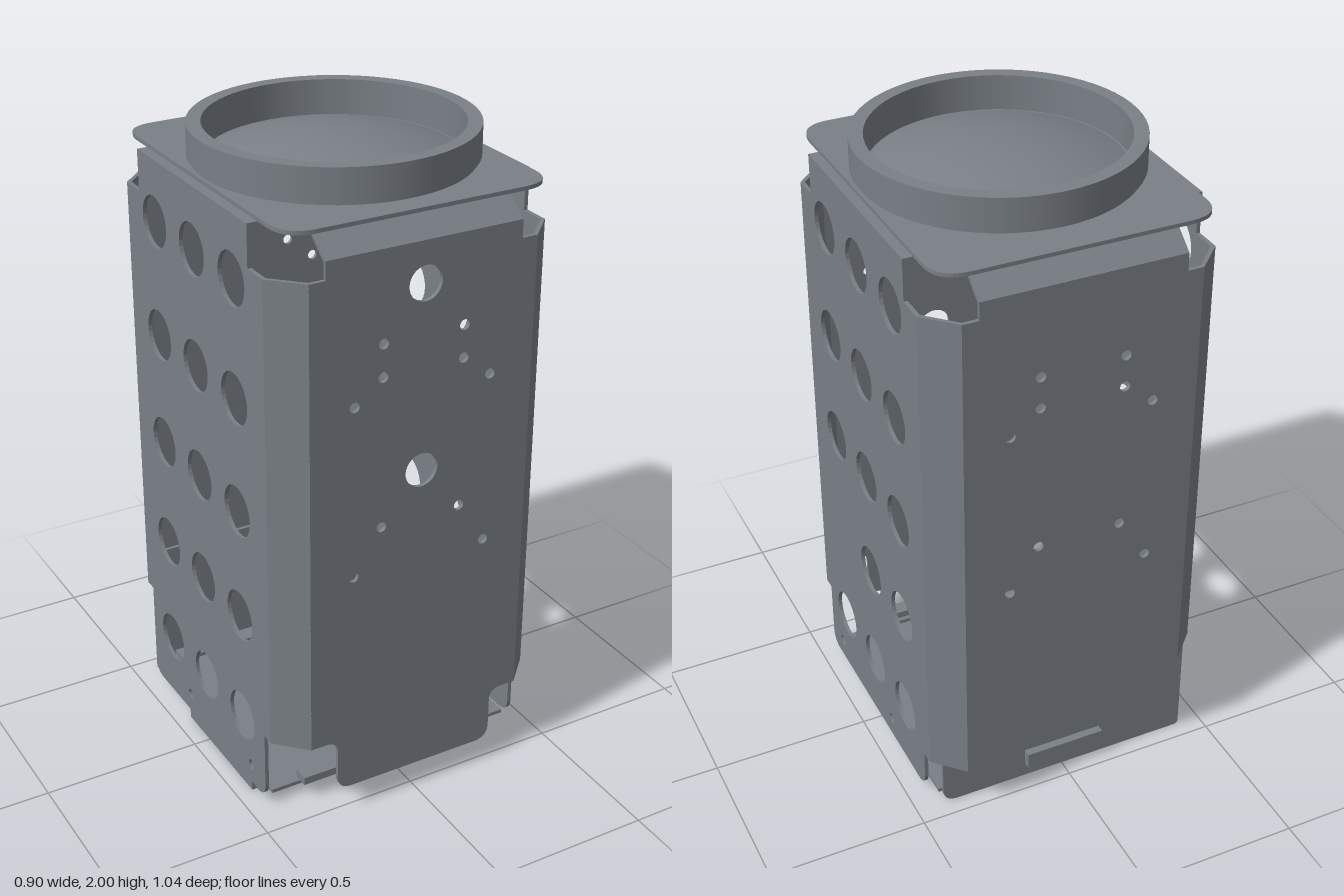
import * as THREE from 'three';

const T = 0.012; // sheet thickness
const X = 0.448, Z = 0.52; // half width and half depth of the housing
const FX = 0.36, SZ = 0.43; // where the flat panels meet the corner strips

const mat = new THREE.MeshStandardMaterial({ color: 0x7a8087 });

function add(parent, name, geo, x = 0, y = 0, z = 0) {
  const m = new THREE.Mesh(geo, mat);
  m.name = name;
  m.position.set(x, y, z);
  parent.add(m);
  return m;
}

// box given by its limits
function block(parent, name, x0, x1, y0, y1, z0, z1) {
  return add(parent, name, new THREE.BoxGeometry(x1 - x0, y1 - y0, z1 - z0),
    (x0 + x1) / 2, (y0 + y1) / 2, (z0 + z1) / 2);
}

// outline with a corner radius as optional third value, plus round holes [x, y, r]
function sheet(points, holes = []) {
  const s = new THREE.Shape();
  const n = points.length;
  points.forEach(([x, y, r = 0], i) => {
    const p = new THREE.Vector2(x, y);
    const toward = (q) => new THREE.Vector2(q[0], q[1]).sub(p).setLength(r).add(p);
    const a = toward(points[(i + n - 1) % n]), b = toward(points[(i + 1) % n]);
    if (i) s.lineTo(a.x, a.y); else s.moveTo(a.x, a.y);
    if (r) s.quadraticCurveTo(x, y, b.x, b.y);
  });
  for (const [x, y, r] of holes) {
    s.holes.push(new THREE.Path().absarc(x, y, r, 0, Math.PI * 2, true));
  }
  return new THREE.ExtrudeGeometry(s, { depth: T, bevelEnabled: false, curveSegments: 14 });
}

// thin tilted strip of sheet
function bar(parent, name, length, height, x, y, z, rx, ry) {
  const m = add(parent, name, new THREE.BoxGeometry(length, height, T), x, y, z);
  m.rotation.set(rx, ry, 0);
}

export function createModel() {
  const g = new THREE.Group();
  g.name = 'housing';

  // Front and back panels
  const screws = [];
  for (const [x, y] of [[0.13, 1.53], [0.13, 1.43], [0.22, 1.36], [0.13, 0.96], [0.22, 0.82]]) {
    screws.push([x, y, 0.016], [-x, y, 0.016]);
  }
  const panelTop = [[FX, 1.75], [0.31, 1.75], [0.31, 1.805], [-0.31, 1.805], [-0.31, 1.75], [-FX, 1.75]];
  add(g, 'frontPanel', sheet(
    [...panelTop, [-FX, 0.265], [-0.27, 0.265, 0.04], [-0.27, 0.085, 0.05],
      [0.27, 0.085, 0.05], [0.27, 0.265, 0.04], [FX, 0.265]],
    [...screws, [0, 1.68, 0.053], [0, 1.11, 0.053]]), 0, 0, Z - T);
  add(g, 'backPanel', sheet(
    [...panelTop, [-FX, 0.36], [0.13, 0.36, 0.02], [0.21, 0.175, 0.02], [FX, 0.175]],
    screws), 0, 0, -Z);

  // Perforated side panels; the left one lacks one hole
  for (const side of [1, -1]) {
    const backEnd = side > 0 ? 0.175 : 0.36;
    const holes = [[0.3, 0.1, 0.017], [-0.125, 0.1, 0.017]];
    for (const y of [1.685, 1.325, 0.965, 0.61, 0.25]) {
      for (const z of [-0.245, 0, 0.245]) {
        if (!(side > 0 && y === 0.61 && z > 0)) holes.push([z, y, 0.08]);
      }
    }
    const m = add(g, side > 0 ? 'leftPanel' : 'rightPanel', sheet(
      [[SZ, 1.75], [0.345, 1.75], [0.345, 1.872], [-0.345, 1.872], [-0.345, 1.75], [-SZ, 1.75],
        [-SZ, backEnd], [-0.39, backEnd], [-0.39, 0.035, 0.05], [0.39, 0.035, 0.05],
        [0.39, 0.265], [SZ, 0.265]], holes), side > 0 ? X : -X + T);
    m.rotation.y = -Math.PI / 2;
    block(g, 'sideTopFlange', side > 0 ? 0.36 : -X, side > 0 ? X : -0.36, 1.865, 1.877, -0.345, 0.345);
  }

  // Slanted corner strips
  const stripLen = Math.hypot(X - FX, Z - SZ);
  const stripAngle = Math.atan2(Z - SZ, X - FX);
  for (const sx of [1, -1]) for (const sz of [1, -1]) {
    const y0 = sz > 0 ? 0.265 : sx > 0 ? 0.175 : 0.36;
    bar(g, 'cornerStrip', stripLen, 1.75 - y0,
      sx * ((X + FX) / 2 - T * 0.35), (1.75 + y0) / 2, sz * ((Z + SZ) / 2 - T * 0.35),
      0, sx * sz * -stripAngle * -1);
  }

  // Sloped top flanges at front and back, folded in under the lid
  for (const sz of [1, -1]) {
    const dy = 0.07, dz = 0.085;
    bar(g, 'slopedFlange', 0.62, Math.hypot(dy, dz), 0, 1.803 + dy / 2 - T * 0.3,
      sz * (Z - dz / 2 - T * 0.35), -sz * Math.atan2(dz, dy), 0);
    block(g, 'topFlange', -0.31, 0.31, 1.863, 1.875, sz > 0 ? 0.36 : -0.44, sz > 0 ? 0.44 : -0.36);
  }

  // Lid plate with rounded corners
  const lid = add(g, 'lidPlate', sheet(
    [[0.42, 0.505, 0.1], [-0.42, 0.505, 0.1], [-0.42, -0.505, 0.1], [0.42, -0.505, 0.1]]), 0, 1.892, 0);
  lid.rotation.x = Math.PI / 2;

  // Collar ring and shallow domed lens inside it
  const ring = [[0.376, 1.885], [0.41, 1.885], [0.41, 1.905], [0.419, 1.905], [0.419, 2], [0.376, 2], [0.376, 1.885]];
  const ringPoints = [];
  ring.forEach(([r, y], i) => { // doubled points keep the edges sharp
    ringPoints.push(new THREE.Vector2(r, y));
    if (i && i < ring.length - 1) ringPoints.push(new THREE.Vector2(r, y));
  });
  add(g, 'collar', new THREE.LatheGeometry(ringPoints, 64), 0, 0, 0.02);
  const dome = [];
  for (let i = 0; i <= 10; i++) {
    const r = 0.376 * (1 - i / 10);
    dome.push(new THREE.Vector2(r, 1.89 + 0.07 * (1 - (r / 0.376) ** 2)));
  }
  add(g, 'lens', new THREE.LatheGeometry(dome, 48), 0, 0, 0.02);

  // Bottom tray: floor, sliding cover, upright rear wall with grip, front lip
  block(g, 'trayFloor', -0.42, 0.42, 0.035, 0.047, -0.43, 0.38);
  block(g, 'bottomCover', -X, 0.36, 0.004, 0.036, -0.135, 0.3);
  block(g, 'bottomTab', -0.2, 0.2, 0.018, 0.036, -0.32, -0.22);
  add(g, 'rearCover', sheet(
    [[0.41, 0.46], [-0.425, 0.46], [-0.425, 0, 0.015], [0.41, 0, 0.05]]), 0, 0, -0.445);
  block(g, 'rearGrip', -0.13, 0.13, 0.05, 0.105, -0.47, -0.44);
  block(g, 'rearFoot', -0.36, 0.36, 0.008, 0.06, -0.435, -0.375);
  block(g, 'frontLip', -0.33, 0.33, 0.058, 0.083, 0.37, 0.42);
  block(g, 'lipStem', -0.25, 0.25, 0.02, 0.06, 0.355, 0.375);

  return g;
}
